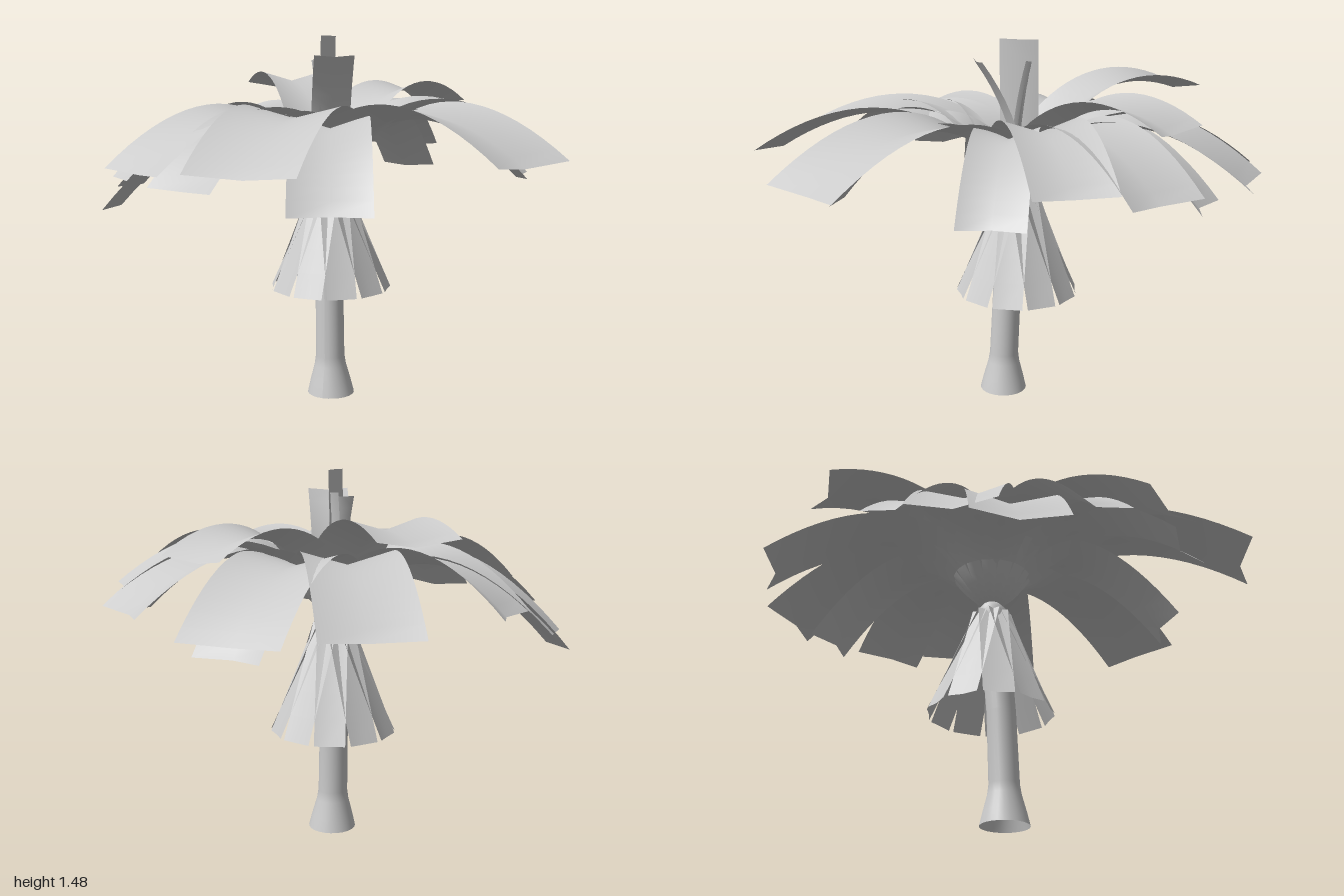
import * as THREE from 'three';

const material = new THREE.MeshStandardMaterial({ color: 0xcccccc, side: THREE.DoubleSide });
const V = (x, y, z) => new THREE.Vector3(x, y, z);
const CX = -0.06, CZ = -0.06; // crown axis

// A folded leaf strip along a curve; side is its width direction.
// The stalk widens into the blade between the two neck fractions.
function leafGeometry(curve, side, { width, fold, notch = 0, neck, neckWidth = 0.03, segments = 20 }) {
  const pos = [], index = [];
  for (let i = 0; i <= segments; i++) {
    const t = i / segments;
    const p = curve.getPoint(t), tan = curve.getTangent(t);
    const normal = side.clone().cross(tan).normalize();
    if (normal.y < 0) normal.negate();
    const k = neck ? THREE.MathUtils.smoothstep(t, neck[0], neck[1]) : 1;
    const half = THREE.MathUtils.lerp(neckWidth, width, k) / 2;
    const lift = fold * k * (1 - 0.4 * t);
    for (const s of [-1, 0, 1]) {
      const e = Math.abs(s);
      const q = p.clone().addScaledVector(side, s * half)
        .addScaledVector(normal, e * lift)
        .addScaledVector(tan, e * notch * t);
      pos.push(q.x, q.y, q.z);
    }
    if (i < segments) {
      const a = i * 3;
      for (const j of [a, a + 1]) index.push(j, j + 1, j + 3, j + 1, j + 4, j + 3);
    }
  }
  const g = new THREE.BufferGeometry();
  g.setAttribute('position', new THREE.Float32BufferAttribute(pos, 3));
  g.setIndex(index);
  g.computeVertexNormals();
  return g;
}

function addMesh(parent, name, geometry) {
  const mesh = new THREE.Mesh(geometry, material);
  mesh.name = name;
  parent.add(mesh);
}

function addGroup(parent, name) {
  const g = new THREE.Group();
  g.name = name;
  parent.add(g);
  return g;
}

// Flared trunk, open at the foot, with a rounded top, leaning slightly with height
function buildTrunk(root) {
  const profile = [[0.097, 0], [0.085, 0.05], [0.066, 0.12], [0.06, 0.16], [0.058, 0.45],
    [0.06, 0.86], [0.056, 0.9], [0.035, 0.925], [0, 0.935]];
  const g = new THREE.LatheGeometry(profile.map(([r, y]) => new THREE.Vector2(r, y)), 24);
  const p = g.attributes.position;
  for (let i = 0; i < p.count; i++) {
    const y = p.getY(i);
    p.setX(i, p.getX(i) - 0.037 - 0.025 * y);
    p.setZ(i, p.getZ(i) - 0.008 - 0.06 * y * y);
  }
  g.computeVertexNormals();
  addMesh(root, 'trunk', g);
}

// Ring of equal strips around the crown axis; points are [radius, height]
function buildRing(root, groupName, leafName, count, points, options) {
  const ring = addGroup(root, groupName);
  for (let i = 0; i < count; i++) {
    const a = (i / count) * Math.PI * 2;
    const dir = V(Math.sin(a), 0, Math.cos(a));
    const curve = new THREE.QuadraticBezierCurve3(
      ...points.map(([r, y]) => V(CX + dir.x * r, y, CZ + dir.z * r)));
    addMesh(ring, leafName, leafGeometry(curve, V(dir.z, 0, -dir.x), options));
  }
}

// Arching fronds: tip x, y, z and width
const FRONDS = [
  [-0.05, 0.96, -0.96, 0.36], [-0.46, 0.98, -0.84, 0.34], [-0.53, 1.25, -0.6, 0.30],
  [0.19, 1.18, -0.71, 0.29], [0.46, 0.99, -0.72, 0.32], [0.62, 1.03, -0.46, 0.30],
  [0.68, 0.92, -0.2, 0.24], [0.825, 1.02, 0.395, 0.38], [0.2, 0.85, 0.59, 0.30],
  [0.05, 1.01, 0.945, 0.38], [-0.46, 0.98, 0.73, 0.36], [-0.27, 0.93, 0.74, 0.30],
  [-0.66, 0.92, 0.5, 0.26], [-0.85, 0.79, 0.28, 0.34], [-0.885, 0.85, 0.06, 0.32],
  [-0.765, 0.97, -0.2, 0.25], [0.03, 0.88, -0.8, 0.26],
];

function buildFronds(root) {
  const crown = addGroup(root, 'crown');
  for (const [x, y, z, width] of FRONDS) {
    const tip = V(x, y, z);
    const dir = V(x - CX, 0, z - CZ);
    const reach = dir.length();
    dir.normalize();
    const at = (r, h) => V(CX + dir.x * r, h, CZ + dir.z * r);
    const curve = new THREE.QuadraticBezierCurve3(
      at(0.03, 0.93), at(reach * 0.43, 1.27 + 0.1 * y), tip);
    addMesh(crown, 'frond', leafGeometry(curve, V(dir.z, 0, -dir.x),
      { width, fold: 0.06, notch: 0.025, neck: [0.05, 0.2] }));
  }
}

// Upright young leaves: tip x, y, z, width, facing angle
const SPEARS = [
  [-0.055, 1.475, -0.06, 0.16, Math.PI / 2],
  [0.02, 1.39, 0.09, 0.16, 0.55],
  [-0.115, 1.375, -0.1, 0.08, 3.5],
  [-0.07, 1.39, -0.12, 0.06, 2.6],
];

function buildSpears(root) {
  const spears = addGroup(root, 'youngLeaves');
  for (const [x, y, z, width, a] of SPEARS) {
    const curve = new THREE.QuadraticBezierCurve3(
      V(CX, 0.95, CZ), V(CX + (x - CX) * 0.2, 1.2, CZ + (z - CZ) * 0.2), V(x, y, z));
    addMesh(spears, 'youngLeaf', leafGeometry(curve, V(Math.cos(a), 0, -Math.sin(a)),
      { width, fold: 0.02, neck: [0, 0.25], segments: 8 }));
  }
}

export function createModel() {
  const root = new THREE.Group();
  root.name = 'palmTree';
  buildTrunk(root);
  // Dry leaves hanging around the trunk
  buildRing(root, 'drySkirt', 'dryLeaf', 11, [[0.045, 0.88], [0.13, 0.68], [0.24, 0.44]],
    { width: 0.12, fold: 0.008, segments: 5 });
  // Short leaf bases splayed under the crown
  buildRing(root, 'leafBases', 'leafBase', 14, [[0.03, 0.92], [0.1, 0.96], [0.16, 1.05]],
    { width: 0.06, fold: 0.015, neck: [0, 1], segments: 5 });
  buildFronds(root);
  buildSpears(root);
  return root;
}
